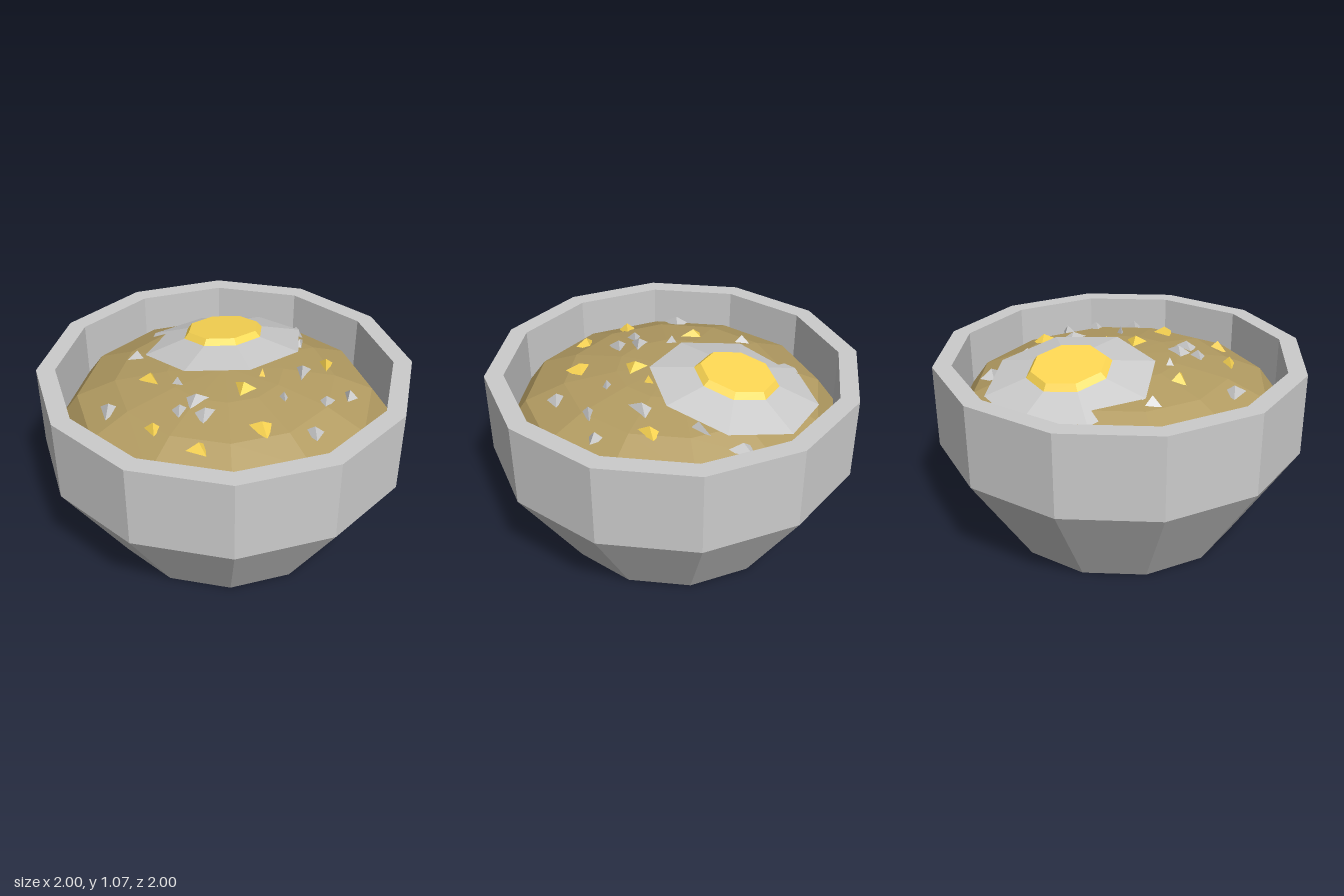
import * as THREE from 'three';

const material = (color) => new THREE.MeshStandardMaterial({ color, flatShading: true });
const grey = material(0xcccccc);
const brown = material(0xb39c62);
const yellow = material(0xffd954);

function add(parent, name, geometry, mat) {
  const mesh = new THREE.Mesh(geometry, mat);
  mesh.name = name;
  parent.add(mesh);
  return mesh;
}

const lathe = (points) =>
  new THREE.LatheGeometry(points.map(([r, y]) => new THREE.Vector2(r, y)), 12);

// Domed broth, listed from the wall to the centre as [radius, height]
const brothProfile = [[0.9, 0.7], [0.8, 0.835], [0.59, 0.925], [0.31, 0.975], [0, 0.99]];

function brothHeight(r) {
  for (let i = 1; i < brothProfile.length; i++) {
    const [r0, y0] = brothProfile[i - 1];
    const [r1, y1] = brothProfile[i];
    if (r >= r1) return THREE.MathUtils.mapLinear(r, r0, r1, y0, y1);
  }
}

// Floating scraps: x, z, length, width, direction of the pointed end (degrees)
const greyScraps = [
  [0.11, -0.69, 0.14, 0.09, 55], [0.22, -0.48, 0.12, 0.05, 190],
  [0.36, -0.2, 0.15, 0.09, 20], [0.64, -0.19, 0.08, 0.07, 240],
  [0.57, -0.03, 0.09, 0.07, 150], [0.61, 0.21, 0.1, 0.09, 270],
  [0.38, 0.08, 0.05, 0.04, 270], [-0.52, 0.05, 0.1, 0.09, 80],
  [-0.16, 0.23, 0.07, 0.05, 80], [0, 0.32, 0.14, 0.1, 135],
  [-0.04, 0.42, 0.09, 0.08, 150], [0.09, 0.39, 0.13, 0.1, 150],
  [-0.41, 0.51, 0.12, 0.11, 20],
];
const yellowScraps = [
  [0.43, -0.36, 0.13, 0.08, 25], [0.17, 0.12, 0.14, 0.13, 245],
  [0.38, 0.34, 0.14, 0.13, 280], [-0.32, 0.24, 0.14, 0.09, 65],
  [-0.1, 0.58, 0.08, 0.08, 270], [0.17, 0.6, 0.1, 0.1, 300],
  [0.2, -0.04, 0.06, 0.04, 200],
];

function addScraps(parent, name, list, mat) {
  const group = new THREE.Group();
  group.name = name;
  const wedge = new THREE.ConeGeometry(1, 1, 3);
  for (const [x, z, length, width, turn] of list) {
    const scrap = add(group, 'scrap', wedge, mat);
    scrap.scale.set(width / 1.73, 0.05, length / 1.5);
    scrap.position.set(x, brothHeight(Math.hypot(x, z)) + 0.015, z);
    scrap.rotation.y = THREE.MathUtils.degToRad(turn);
  }
  parent.add(group);
}

export function createModel() {
  const model = new THREE.Group();
  model.name = 'bowlOfSoup';

  // Twelve-sided bowl: foot, outer wall, rim, inner wall and floor
  add(model, 'bowl', lathe([
    [0, 0], [0.65, 0], [1, 0.55], [1, 1], [0.9, 1], [0.9, 0.58], [0.58, 0.1], [0, 0.1],
  ]), grey);

  add(model, 'broth', lathe(brothProfile), brown);

  // Fried egg lying tilted on the broth
  const egg = new THREE.Group();
  egg.name = 'egg';
  egg.position.set(-0.165, 0.945, -0.3);
  egg.rotation.set(-0.13, 0, 0.13);
  const white = add(egg, 'eggWhite', new THREE.CylinderGeometry(0.22, 0.455, 0.06, 8), grey);
  white.position.y = 0.03;
  const yolk = add(egg, 'yolk', new THREE.CylinderGeometry(0.2, 0.235, 0.04, 8), yellow);
  yolk.position.y = 0.07;
  model.add(egg);

  addScraps(model, 'greyScraps', greyScraps, grey);
  addScraps(model, 'yellowScraps', yellowScraps, yellow);
  return model;
}
